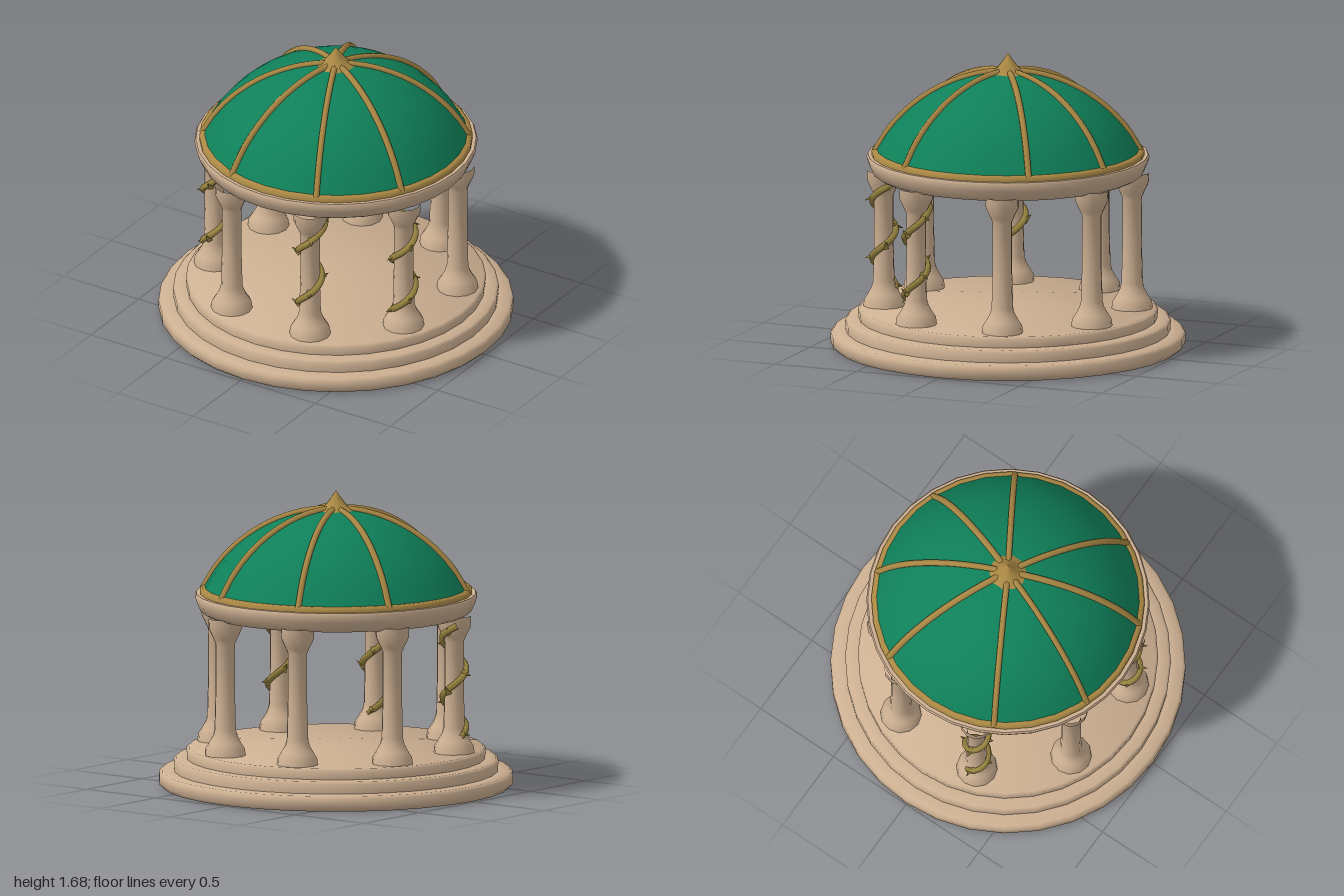
import * as THREE from 'three';
import { toCreasedNormals } from 'three/addons/utils/BufferGeometryUtils.js';

const material = (name, color) => {
  const m = new THREE.MeshStandardMaterial({ color });
  m.name = name;
  return m;
};

const DEG = Math.PI / 180;
const DOME_BASE = 1.12, DOME_RADIUS = 0.75, DOME_TOP = 1.58;
// Sphere that carries the dome cap
const CAP_R = 0.841, CAP_Y = DOME_TOP - CAP_R;
const capHeight = (r) => CAP_Y + Math.sqrt(CAP_R * CAP_R - r * r);

export function createModel() {
  const stone = material('sandstone', 0xcdb092);
  const green = material('green roof', 0x0f8059);
  const gold = material('gold', 0xaa8844);
  const vineGold = material('old gold', 0x998540);

  const model = new THREE.Group();
  model.name = 'gazebo';

  const add = (parent, name, geometry, mat) => {
    const mesh = new THREE.Mesh(geometry, mat);
    mesh.name = name;
    parent.add(mesh);
    return mesh;
  };
  const lathe = (points, segments, crease = 1) => {
    const g = new THREE.LatheGeometry(points.map(([r, y]) => new THREE.Vector2(r, y)), segments);
    return crease ? toCreasedNormals(g, crease) : g;
  };

  // Three round steps with softened edges
  add(model, 'steps', lathe([
    [0, 0.005], [0.98, 0.005], [1, 0.025], [1, 0.075], [0.985, 0.092],
    [0.915, 0.095], [0.918, 0.15], [0.905, 0.163],
    [0.842, 0.165], [0.846, 0.213], [0.832, 0.226], [0, 0.226],
  ], 32), stone);

  // Eight columns in a ring
  const columnGeometry = lathe([
    [0.118, 0.215], [0.112, 0.265], [0.092, 0.295], [0.07, 0.335], [0.061, 0.37],
    [0.055, 0.6], [0.055, 0.86], [0.068, 0.89], [0.094, 0.945], [0.096, 1.005],
  ], 12);
  const columnSpot = (degrees) =>
    new THREE.Vector3(0.7 * Math.cos(degrees * DEG), 0, 0.7 * Math.sin(degrees * DEG));
  for (let i = 0; i < 8; i++) {
    add(model, 'column', columnGeometry, stone).position.copy(columnSpot(24.5 + 45 * i));
  }

  // Vines that climb three of the columns; frontY is where each crosses the front
  const PITCH = 0.33;
  const addVine = (degrees, frontY) => {
    const vine = new THREE.Group();
    vine.name = 'vine';
    vine.position.copy(columnSpot(degrees));
    model.add(vine);
    const pointAt = (y, reach) => {
      const a = Math.PI / 2 - ((y - frontY) / PITCH) * Math.PI * 2;
      return new THREE.Vector3(reach * Math.cos(a), y, reach * Math.sin(a));
    };
    const stem = [];
    for (let i = 0; i <= 36; i++) {
      const y = 0.32 + (0.64 * i) / 36;
      stem.push(pointAt(y, 0.066 + 0.03 * Math.max(0, (y - 0.87) / 0.09)));
    }
    add(vine, 'vineStem',
      new THREE.TubeGeometry(new THREE.CatmullRomCurve3(stem), 72, 0.019, 5), vineGold);
    // Small pointed leaves
    const up = new THREE.Vector3(0, 1, 0);
    for (let i = 0; i < 8; i++) {
      const y = 0.34 + i * 0.084;
      const out = pointAt(y, 1).setY(i % 2 ? 0.9 : -0.3).normalize();
      const leaf = add(vine, 'leaf', new THREE.ConeGeometry(0.022, 0.06, 4), vineGold);
      leaf.position.copy(pointAt(y, 0.082));
      leaf.quaternion.setFromUnitVectors(up, out);
    }
  };
  addVine(69.5, 0.48);
  addVine(24.5, 0.7);
  addVine(159.5, 0.42);

  // Round lintel above the columns
  add(model, 'lintel', lathe([
    [0, 0.997], [0.74, 0.99], [0.765, 1.005], [0.785, 1.05], [0.798, 1.09],
    [0.79, 1.104], [0, 1.104],
  ], 32), stone);

  // Gold ceiling plate
  add(model, 'ceiling', new THREE.CylinderGeometry(0.62, 0.62, 0.008, 32), gold).position.y = 0.99;

  // Dome
  const cap = [];
  for (let i = 0; i <= 12; i++) {
    const r = DOME_RADIUS * (1 - i / 12);
    cap.push([r, capHeight(r)]);
  }
  add(model, 'dome', lathe(cap, 32, 0), green);

  // Gold trim around the foot of the dome
  add(model, 'domeTrim', lathe([
    [0.77, 1.1], [0.77, 1.122], [0.758, 1.134], [0.735, 1.136],
  ], 32), gold);

  // Gold ribs from the trim to the crown
  for (const degrees of [28, 66, 109, 151, 208, 248, 291, 328]) {
    const c = Math.cos(degrees * DEG), s = Math.sin(degrees * DEG);
    const path = [];
    for (let i = 0; i <= 8; i++) {
      const r = 0.755 - (0.715 * i) / 8;
      path.push(new THREE.Vector3(r * c, capHeight(r) + 0.004, r * s));
    }
    add(model, 'rib',
      new THREE.TubeGeometry(new THREE.CatmullRomCurve3(path), 20, 0.019, 6), gold);
  }

  // Pointed finial
  add(model, 'finial', lathe([
    [0.13, 1.562], [0.085, 1.582], [0.06, 1.605], [0.032, 1.64], [0, 1.685],
  ], 10), gold);

  return model;
}
